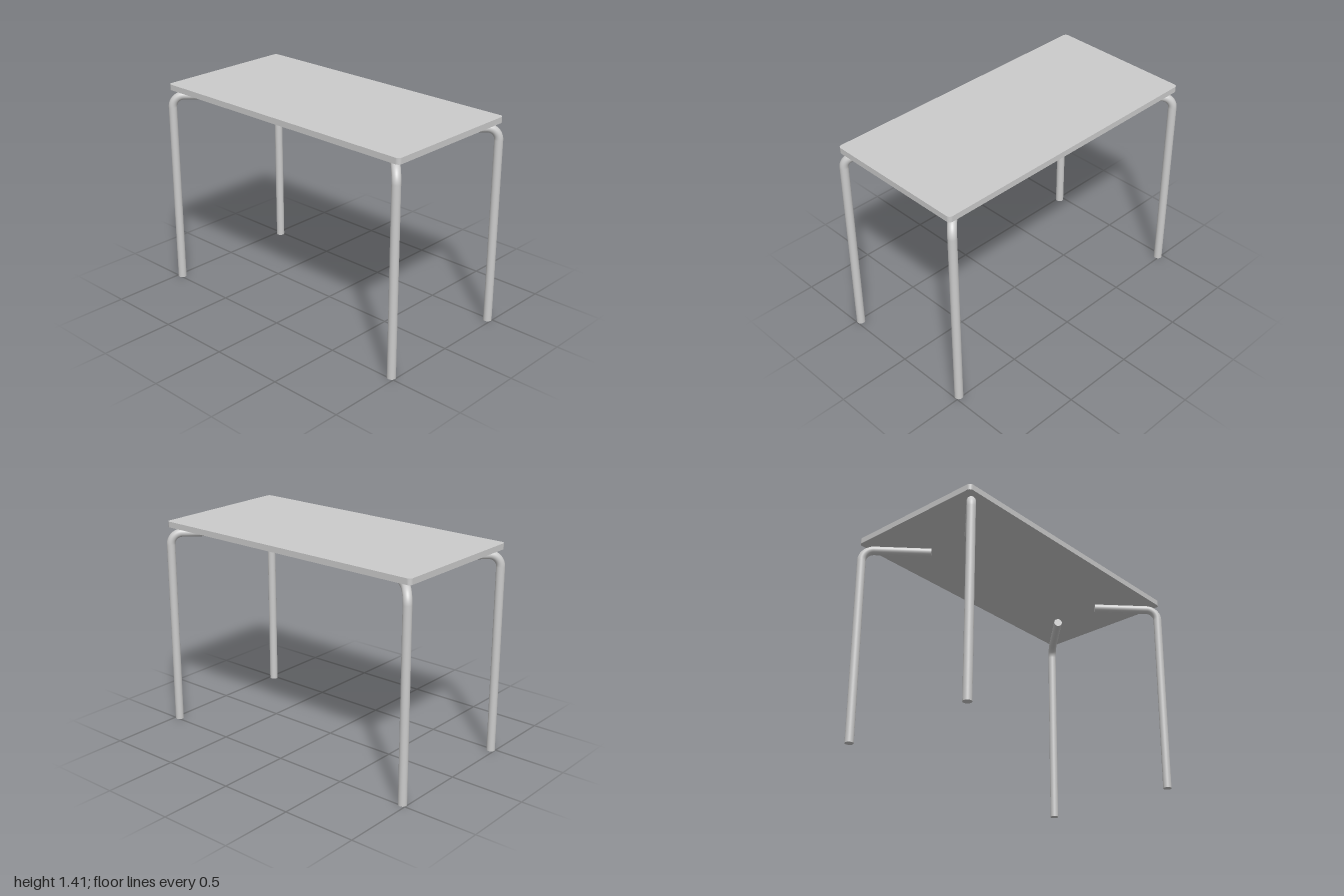
import * as THREE from 'three';

const material = new THREE.MeshStandardMaterial({ color: 0xcccccc });

const TUBE = 0.028; // leg tube radius
const BEND = 0.08; // centre-line radius of the bend
const ARM_Y = 1.337; // height of the arm's centre line
const REACH = 0.448; // length from leg axis to arm end

function addMesh(parent, name, geometry) {
  const mesh = new THREE.Mesh(geometry, material);
  mesh.name = name;
  parent.add(mesh);
  return mesh;
}

// Thin slab with small rounded corners
function tabletop(width, depth, thickness, r) {
  const x = width / 2, y = depth / 2;
  const shape = new THREE.Shape();
  shape.absarc(x - r, y - r, r, 0, Math.PI / 2);
  shape.absarc(-x + r, y - r, r, Math.PI / 2, Math.PI);
  shape.absarc(-x + r, -y + r, r, Math.PI, Math.PI * 1.5);
  shape.absarc(x - r, -y + r, r, Math.PI * 1.5, Math.PI * 2);
  const geometry = new THREE.ExtrudeGeometry(shape, { depth: thickness, bevelEnabled: false, curveSegments: 8 });
  return geometry.rotateX(-Math.PI / 2);
}

// Bent tube leg: upright, quarter bend and arm running along local +x
function createLeg() {
  const leg = new THREE.Group();
  const uprightLength = ARM_Y - BEND;
  const upright = addMesh(leg, 'upright', new THREE.CylinderGeometry(TUBE, TUBE, uprightLength, 32));
  upright.position.y = uprightLength / 2;

  const bend = addMesh(leg, 'bend', new THREE.TorusGeometry(BEND, TUBE, 32, 16, Math.PI / 2));
  bend.rotation.z = Math.PI / 2;
  bend.position.set(BEND, uprightLength, 0);

  const armLength = REACH - BEND;
  const arm = addMesh(leg, 'arm', new THREE.CylinderGeometry(TUBE, TUBE, armLength, 32));
  arm.rotation.z = Math.PI / 2;
  arm.position.set(BEND + armLength / 2, ARM_Y, 0);
  return leg;
}

export function createModel() {
  const table = new THREE.Group();
  table.name = 'table';

  addMesh(table, 'tabletop', tabletop(1.986, 0.986, 0.039, 0.025)).position.y = 1.375;

  // Four legs, each arm turned diagonally inward
  for (const sx of [-1, 1]) {
    for (const sz of [-1, 1]) {
      const leg = createLeg();
      leg.name = (sz > 0 ? 'front' : 'back') + (sx > 0 ? 'Left' : 'Right') + 'Leg';
      leg.position.set(sx * 0.972, 0, sz * 0.485);
      leg.rotation.y = Math.atan2(sz, -sx);
      table.add(leg);
    }
  }
  return table;
}
